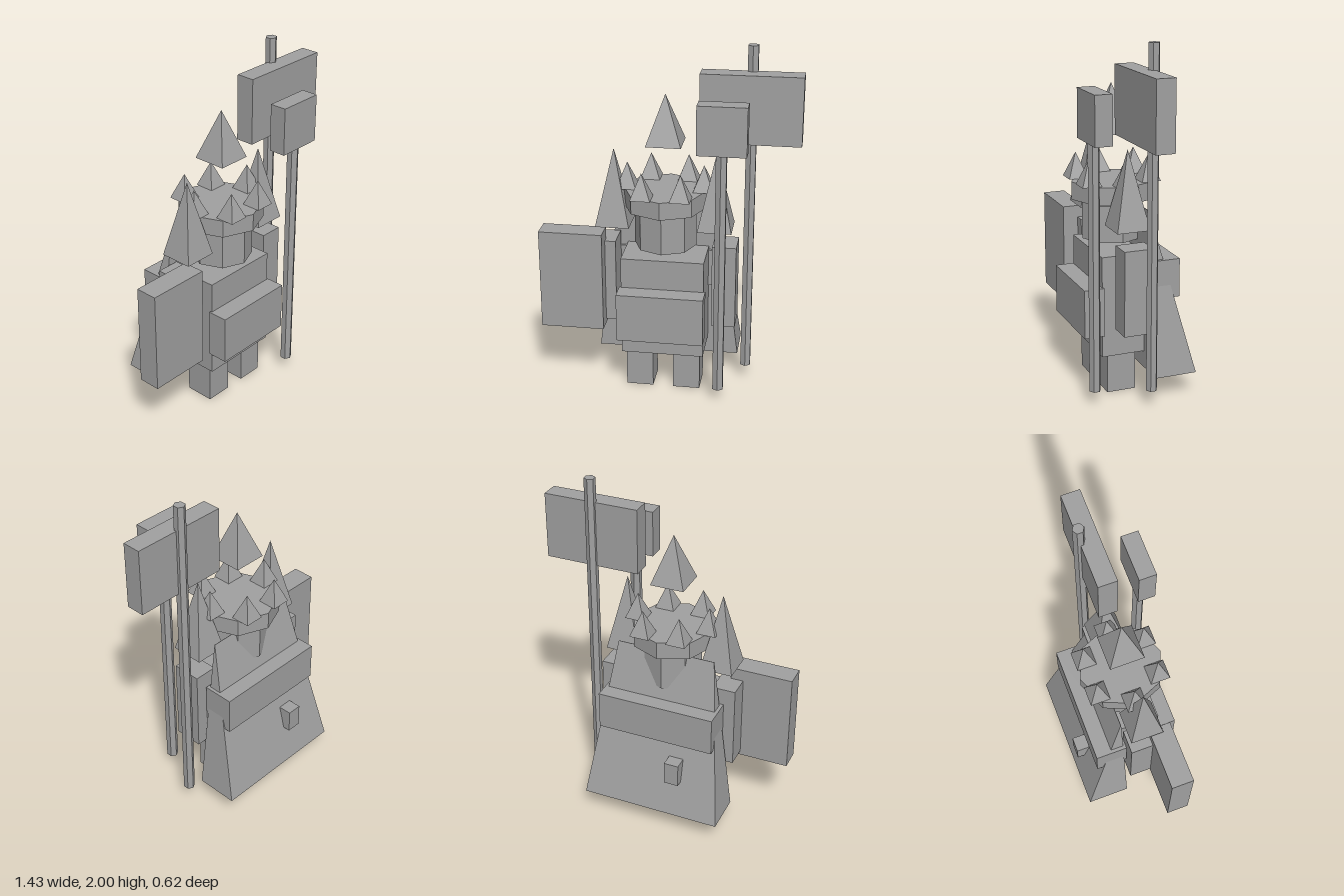
import * as THREE from 'three';

export function createModel() {
  const group = new THREE.Group();
  const stone = new THREE.MeshStandardMaterial({ color: 0xa0a0a0, flatShading: true });
  stone.name = 'stone grey';
  const CX = -0.027, CZ = 0.04; // axis of the figure

  const add = (name, geometry) => {
    const mesh = new THREE.Mesh(geometry, stone);
    mesh.name = name;
    group.add(mesh);
    return mesh;
  };
  // Box from its min and max on each axis
  const box = (name, x0, x1, y0, y1, z0, z1) =>
    add(name, new THREE.BoxGeometry(x1 - x0, y1 - y0, z1 - z0))
      .position.set((x0 + x1) / 2, (y0 + y1) / 2, (z0 + z1) / 2);
  // Upright prism with its first corner towards the front
  const prism = (name, x, z, radius, y0, y1, sides) =>
    add(name, new THREE.CylinderGeometry(radius, radius, y1 - y0, sides))
      .position.set(x, (y0 + y1) / 2, z);
  // Square pyramid with sides along the axes
  const pyramid = (name, x, z, half, y0, y1) => {
    const g = new THREE.ConeGeometry(half * Math.SQRT2, y1 - y0, 4);
    g.rotateY(Math.PI / 4);
    add(name, g).position.set(x, (y0 + y1) / 2, z);
  };

  // Paired limbs and shoulder spikes
  for (const [side, s] of [['left', 1], ['right', -1]]) {
    const pair = (name, a, b, ...rest) =>
      box(side + name, Math.min(CX + s * a, CX + s * b), Math.max(CX + s * a, CX + s * b), ...rest);
    pair('Leg', 0.058, 0.212, 0, 0.228, -0.02, 0.148);
    pair('Arm', 0.272, 0.407, 0.4, 0.885, -0.045, 0.122);
    pyramid(side + 'ShoulderSpike', CX + s * 0.285, 0.057, 0.095, 0.98, 1.415);
  }

  // Torso and belly plate
  box('torso', -0.26, 0.207, 0.228, 0.81, -0.1, 0.185);
  box('bellyPlate', -0.27, 0.217, 0.355, 0.635, 0.175, 0.292);

  // Head and crown
  prism('head', CX, CZ, 0.174, 0.86, 1.07, 8);
  prism('crown', CX, CZ, 0.235, 1.09, 1.19, 8);
  for (const [dx, dz] of [[-0.214, 0], [0.214, 0], [-0.107, 0.174], [0.107, 0.174], [-0.107, -0.174], [0.107, -0.174]])
    pyramid('crownSpike', CX + dx, CZ - 0.002 + dz, 0.056, 1.19, 1.333);
  pyramid('floatingPoint', CX, CZ, 0.0975, 1.455, 1.73);

  // Cape: a wedge, upright in front, narrowing to a ridge at the top
  const cape = new THREE.BoxGeometry(0.82, 0.935, 0.243);
  const p = cape.attributes.position;
  for (let i = 0; i < p.count; i++)
    if (p.getY(i) > 0) {
      p.setX(i, Math.sign(p.getX(i)) * 0.288);
      p.setZ(i, p.getZ(i) > 0 ? 0.1215 : 0.119);
    }
  cape.computeVertexNormals();
  add('cape', cape).position.set(CX, 0.13 + 0.4675, -0.1865);

  // Pack across the cape, and clasp below it
  box('backPack', -0.37, 0.316, 0.57, 0.79, -0.23, -0.05);
  box('capeClasp', -0.2, -0.115, 0.34, 0.475, -0.296, -0.19);

  // Shield
  box('shield', -0.718, -0.36, 0.375, 0.955, 0.082, 0.21);

  // Tall standard and front hammer
  prism('standardPole', 0.436, -0.014, 0.032, 0.095, 2, 6);
  box('standardBanner', 0.163, 0.714, 1.48, 1.86, -0.014, 0.093);
  prism('frontPole', 0.304, 0.267, 0.033, 0.082, 1.6, 6);
  box('frontPoleHead', 0.174, 0.44, 1.48, 1.75, 0.213, 0.31);

  return group;
}
